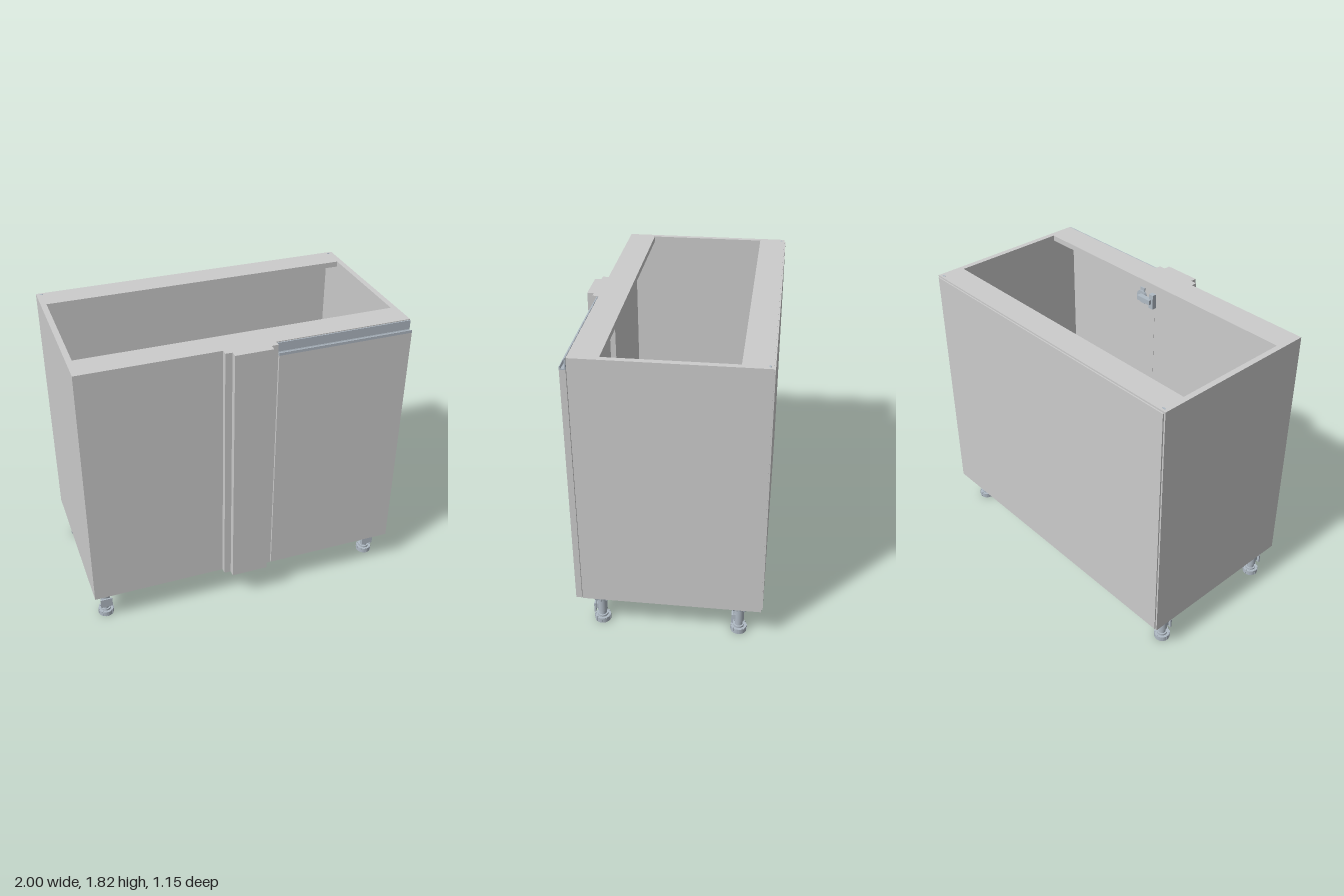
import * as THREE from 'three';

const grey = new THREE.MeshStandardMaterial({ color: 0xcccccc });
const metal = new THREE.MeshStandardMaterial({ color: 0xb0bac4 });

// Box given by its minimum and maximum on each axis
function box(parent, name, [x0, x1], [y0, y1], [z0, z1], material = grey) {
  const mesh = new THREE.Mesh(new THREE.BoxGeometry(x1 - x0, y1 - y0, z1 - z0), material);
  mesh.position.set((x0 + x1) / 2, (y0 + y1) / 2, (z0 + z1) / 2);
  mesh.name = name;
  parent.add(mesh);
  return mesh;
}

function cylinder(parent, name, rTop, rBottom, y0, y1, sides = 24) {
  const mesh = new THREE.Mesh(new THREE.CylinderGeometry(rTop, rBottom, y1 - y0, sides), metal);
  mesh.position.y = (y0 + y1) / 2;
  mesh.name = name;
  parent.add(mesh);
  return mesh;
}

// Closed (z, y) outline extruded along x
function extrudeX(parent, name, outline, x0, x1, material) {
  const shape = new THREE.Shape(outline.map(([z, y]) => new THREE.Vector2(z, y)));
  const mesh = new THREE.Mesh(
    new THREE.ExtrudeGeometry(shape, { depth: x1 - x0, bevelEnabled: false }), material);
  mesh.rotation.y = -Math.PI / 2;
  mesh.position.x = x1;
  mesh.name = name;
  parent.add(mesh);
}

// Adjustable foot with a ribbed socket and a plinth clip at the front
function createLeg() {
  const leg = new THREE.Group();
  leg.name = 'leg';
  cylinder(leg, 'legPlate', 0.054, 0.054, 0.195, 0.215);
  cylinder(leg, 'legSocket', 0.048, 0.044, 0.17, 0.195, 8);
  cylinder(leg, 'legSleeve', 0.03, 0.03, 0.075, 0.17);
  cylinder(leg, 'legScrew', 0.023, 0.023, 0.03, 0.075);
  cylinder(leg, 'footCollar', 0.032, 0.032, 0.033, 0.045);
  cylinder(leg, 'footPad', 0.048, 0.048, 0, 0.033);
  for (let i = 0; i < 8; i++) {
    const rib = new THREE.Group();
    rib.rotation.y = (i * Math.PI) / 4;
    box(rib, 'footRib', [-0.006, 0.006], [0.003, 0.036], [0.04, 0.05], metal);
    box(rib, 'socketRib', [-0.004, 0.004], [0.168, 0.2], [0.03, 0.052], metal);
    leg.add(rib);
  }
  box(leg, 'plinthClip', [-0.038, 0.038], [0.078, 0.14], [0.034, 0.044], metal);
  box(leg, 'clipNeck', [-0.022, 0.022], [0.09, 0.128], [0, 0.036], metal);
  return leg;
}

// Cup hinge on the inner face of the door
function createHinge() {
  const hinge = new THREE.Group();
  hinge.name = 'hinge';
  const cup = cylinder(hinge, 'hingeCup', 0.036, 0.036, 0, 0.02);
  cup.rotation.x = Math.PI / 2;
  cup.position.set(0.07, 0, 0.495);
  box(hinge, 'hingeFlange', [0.05, 0.085], [-0.055, 0.055], [0.495, 0.505], metal);
  box(hinge, 'hingeArm', [-0.04, 0.07], [-0.016, 0.016], [0.45, 0.485], metal);
  box(hinge, 'mountingPlate', [-0.055, -0.02], [-0.05, 0.05], [0.47, 0.5], metal);
  return hinge;
}

export function createModel() {
  const cabinet = new THREE.Group();
  cabinet.name = 'cornerBaseCabinet';
  const bottom = 0.215, top = 1.815, t = 0.035;
  const inner = [-1 + t, 1 - t];

  // Carcass
  box(cabinet, 'rightSide', [-1, -1 + t], [bottom, top], [-0.57, 0.5]);
  box(cabinet, 'leftSide', [1 - t, 1], [bottom, top], [-0.57, 0.5]);
  box(cabinet, 'bottomPanel', inner, [bottom, bottom + t], [-0.57, 0.5]);
  box(cabinet, 'rearRail', inner, [top - t, top], [-0.57, -0.405]);
  box(cabinet, 'frontRail', inner, [top - t, top], [0.33, 0.5]);
  box(cabinet, 'backPanel', [-0.99, 0.99], [bottom + 0.01, top - 0.01], [-0.578, -0.565]);
  box(cabinet, 'blindPanel', [-1 + t, -0.12], [bottom + t, top - t], [0.465, 0.5]);

  // Oval fixing caps at the rear top corners
  for (const side of [-1, 1]) {
    const cap = cylinder(cabinet, 'fixingCap', 0.012, 0.012, top - 0.004, top + 0.001);
    cap.scale.z = 0.5;
    cap.position.x = side * 0.97;
    cap.position.z = -0.55;
  }

  // Stepped corner post
  box(cabinet, 'postBase', [-0.16, 0.155], [bottom, top], [0.5, 0.537]);
  box(cabinet, 'postFront', [-0.118, 0.113], [bottom, top], [0.537, 0.577]);

  // Door with a recessed grip profile along its top edge
  box(cabinet, 'door', [0.16, 0.998], [bottom + 0.002, 1.745], [0.504, 0.54]);
  extrudeX(cabinet, 'gripProfile', [
    [0.504, 1.745], [0.54, 1.745], [0.54, 1.762], [0.536, 1.762],
    [0.53, 1.752], [0.514, 1.75], [0.511, 1.756], [0.511, 1.812], [0.504, 1.812],
  ], 0.16, 0.998, metal);

  for (const y of [0.45, 1.58]) {
    const hinge = createHinge();
    hinge.position.set(0.2, y, 0);
    cabinet.add(hinge);
  }

  for (const x of [-0.92, 0.92]) {
    for (const z of [-0.437, 0.4]) {
      const leg = createLeg();
      leg.position.set(x, 0, z);
      cabinet.add(leg);
    }
  }
  return cabinet;
}
